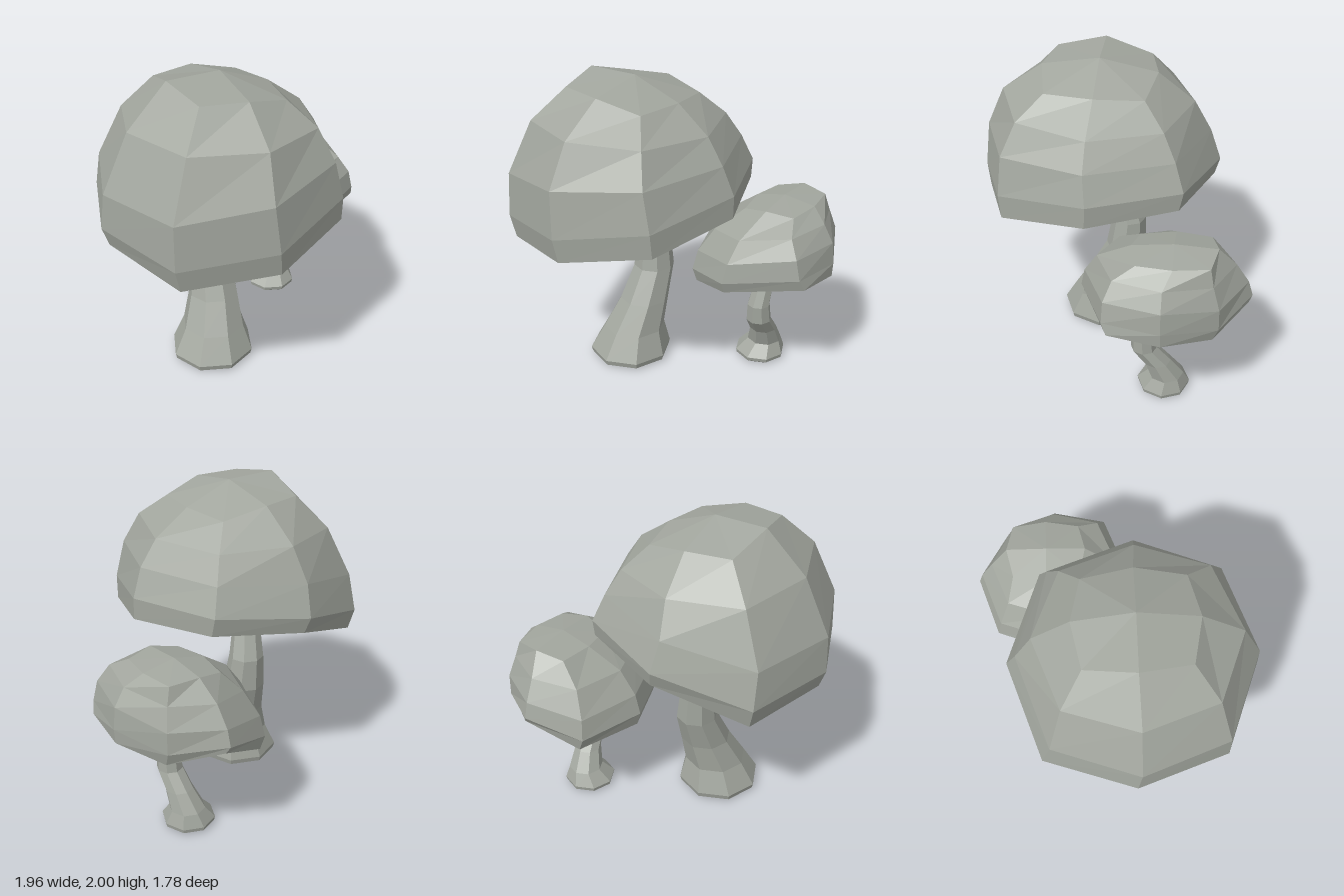
import * as THREE from 'three';

const SIDES = 8;
const grey = new THREE.MeshStandardMaterial({ color: 0xa2a69e });
grey.name = 'stone grey';

// Flat-shaded skin over rings of eight points, closed by a point at each end.
function loft(name, rings, start, end) {
  const pos = [];
  const tri = (...pts) => pts.forEach((p) => pos.push(...p));
  for (let k = 0; k < SIDES; k++) {
    const n = (k + 1) % SIDES;
    tri(start, rings[0][n], rings[0][k]);
    for (let i = 0; i < rings.length - 1; i++) {
      const u = rings[i], l = rings[i + 1];
      tri(u[k], u[n], l[n]);
      tri(u[k], l[n], l[k]);
    }
    const last = rings[rings.length - 1];
    tri(end, last[k], last[n]);
  }
  const geo = new THREE.BufferGeometry();
  geo.setAttribute('position', new THREE.Float32BufferAttribute(pos, 3));
  geo.computeVertexNormals();
  const mesh = new THREE.Mesh(geo, grey);
  mesh.name = name;
  return mesh;
}

// Tilted ring from its four extremes: left x,y  right x,y  front z,y  back z,y.
// Points run right, front right, front, front left, left, back left, back, back right.
function capRing([xl, yl, xr, yr, zf, yf, zb, yb], diag) {
  const c = [(xl + xr) / 2, (yl + yr + yf + yb) / 4, (zf + zb) / 2];
  const axis = [[xr, yr, c[2]], [c[0], yf, zf], [xl, yl, c[2]], [c[0], yb, zb]];
  return axis.flatMap((a, q) => {
    const b = axis[(q + 1) % 4];
    return [a, c.map((v, i) => v + (a[i] + b[i] - 2 * v) * diag)];
  });
}

// Cap: domed outside, thin lip, then a shallow hollow rising to the stem.
// topDrop lowers the four top corners; nudge moves single points, fully at
// the rim and fading out toward the top.
function cap(name, profile, apex, { topDrop, hollow, nudge }) {
  const outer = profile.map((row, i) =>
    capRing(row, i ? 0.73 : 0.84).map(([x, y, z], k) => {
      const [dx, dy, dz] = nudge[k] ?? [0, 0, 0];
      const f = i / (profile.length - 1);
      const drop = i === 0 && k % 2 ? topDrop[(k - 1) / 2] : 0;
      return [x + dx * f, y + dy * f - drop, z + dz * f];
    }));
  const rim = outer[outer.length - 1];
  const mid = [0, 1, 2].map((i) => rim.reduce((s, p) => s + p[i], 0) / SIDES);
  const inset = (scale, rise) => rim.map((p) =>
    p.map((v, i) => mid[i] + (v - mid[i]) * scale + (i === 1 ? rise : 0)));
  const inner = [inset(0.94, 0), inset(0.56, hollow * 0.75)];
  return loft(name, [...outer, ...inner], apex, [mid[0], mid[1] + hollow, mid[2]]);
}

// Curved stem from rows of height, centre x, centre z, radius (top to bottom).
function stem(name, rows) {
  const rings = rows.map(([y, cx, cz, r]) =>
    Array.from({ length: SIDES }, (_, k) => {
      const a = (k / SIDES) * Math.PI * 2;
      return [cx + Math.cos(a) * r, y, cz + Math.sin(a) * r];
    }));
  const mid = ([y, x, z]) => [x, y, z];
  return loft(name, rings, mid(rows[0]), mid(rows[rows.length - 1]));
}

export function createModel() {
  const model = new THREE.Group();
  model.name = 'mushrooms';

  // Large mushroom
  const large = new THREE.Group();
  large.name = 'largeMushroom';
  large.add(
    cap('largeCap', [
      [-0.53, 2.0, 0.13, 1.88, 0.48, 1.94, -0.24, 1.92],
      [-0.79, 1.75, 0.35, 1.72, 0.74, 1.75, -0.47, 1.73],
      [-0.96, 1.40, 0.46, 1.56, 0.86, 1.48, -0.58, 1.52],
      [-0.98, 1.17, 0.53, 1.38, 0.89, 1.19, -0.65, 1.33],
      [-0.94, 1.05, 0.53, 1.24, 0.87, 1.04, -0.62, 1.23],
    ], [-0.19, 2.0, 0.12], {
      topDrop: [0.02, 0.045, 0.06, 0.015],
      hollow: 0.31,
      nudge: { 3: [0, -0.02, 0], 5: [-0.02, -0.11, -0.01] },
    }),
    stem('largeStem', [
      [1.50, -0.26, 0.08, 0.08],
      [1.25, -0.26, 0.03, 0.085],
      [1.05, -0.235, -0.02, 0.09],
      [0.85, -0.20, -0.07, 0.113],
      [0.64, -0.19, -0.055, 0.136],
      [0.42, -0.21, 0.03, 0.165],
      [0.22, -0.25, 0.10, 0.207],
      [0.055, -0.27, 0.12, 0.276],
      [0.02, -0.27, 0.12, 0.267],
      [0.005, -0.27, 0.12, 0.24],
    ]),
  );

  // Small mushroom, its rim a little uneven
  const small = new THREE.Group();
  small.name = 'smallMushroom';
  small.add(
    cap('smallCap', [
      [0.39, 1.17, 0.80, 1.19, -0.16, 1.195, -0.67, 1.21],
      [0.19, 1.03, 0.90, 1.11, 0.05, 1.06, -0.78, 1.08],
      [0.08, 0.88, 0.965, 1.0, 0.13, 0.92, -0.86, 0.95],
      [0.045, 0.75, 0.98, 0.86, 0.155, 0.79, -0.89, 0.85],
      [0.07, 0.66, 0.975, 0.77, 0.13, 0.72, -0.87, 0.81],
    ], [0.59, 1.22, -0.41], {
      topDrop: [0.015, 0.02, 0.02, 0.015],
      hollow: 0.2,
      nudge: {
        1: [0.09, 0.05, -0.05],
        2: [-0.04, 0, 0],
        3: [0, -0.015, 0],
        5: [0.04, -0.08, -0.03],
        6: [0.04, 0, 0],
        7: [-0.03, -0.09, 0.07],
      },
    }),
    stem('smallStem', [
      [1.05, 0.575, -0.40, 0.055],
      [0.92, 0.575, -0.385, 0.055],
      [0.76, 0.56, -0.345, 0.06],
      [0.63, 0.545, -0.28, 0.064],
      [0.48, 0.535, -0.235, 0.075],
      [0.36, 0.535, -0.245, 0.083],
      [0.25, 0.525, -0.33, 0.09],
      [0.13, 0.505, -0.39, 0.115],
      [0.045, 0.485, -0.375, 0.17],
      [0.02, 0.485, -0.375, 0.165],
      [0.005, 0.485, -0.375, 0.145],
    ]),
  );

  model.add(large, small);
  return model;
}
